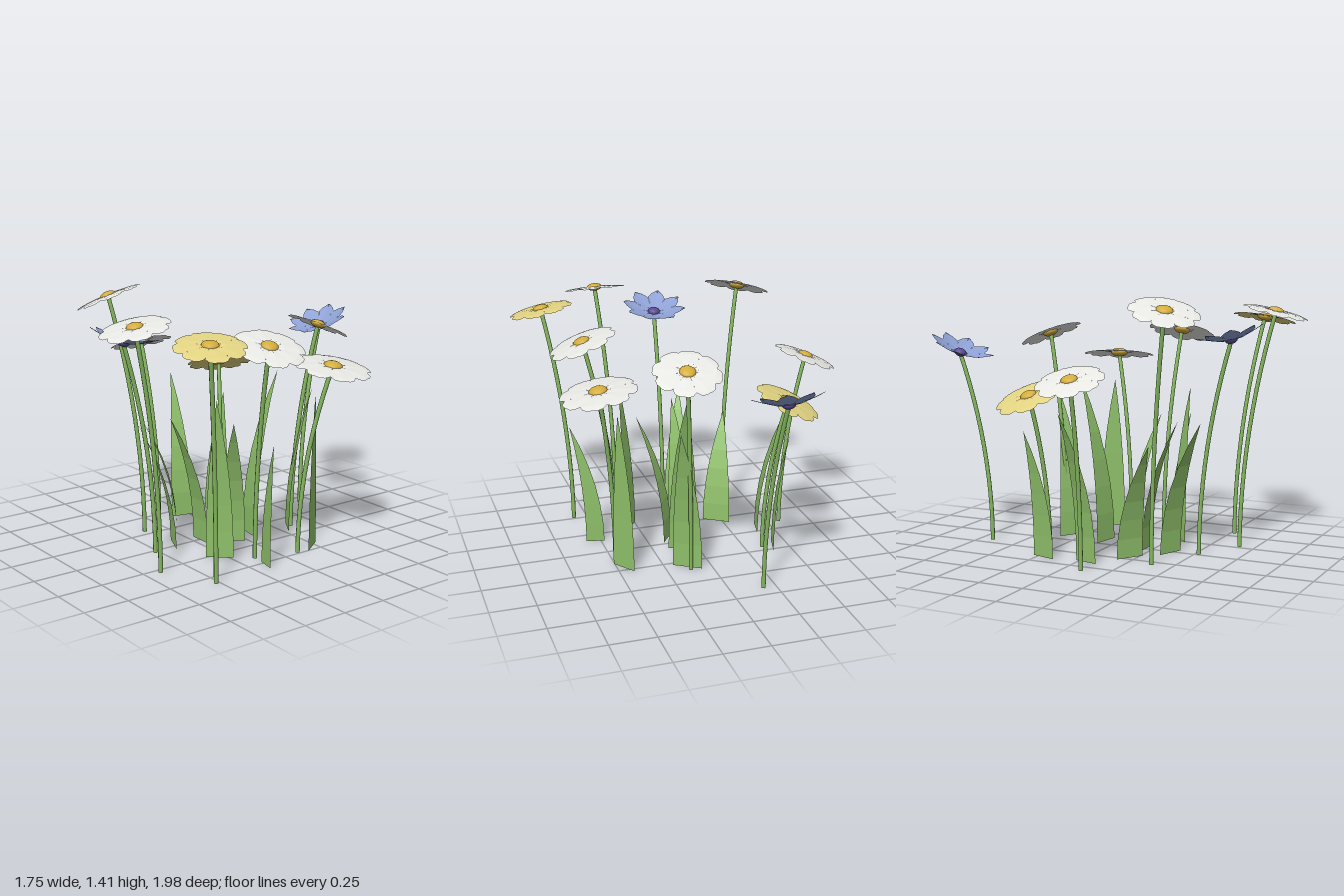
import * as THREE from 'three';
import { mergeGeometries } from 'three/addons/utils/BufferGeometryUtils.js';

const mat = (name, color, extra = {}) => {
  const m = new THREE.MeshStandardMaterial({ color, ...extra });
  m.name = name;
  return m;
};
const open = { side: THREE.DoubleSide, flatShading: true };

// Strip surface from rows of points, all rows the same length
function pushRows(rows, pos) {
  for (let i = 0; i < rows.length - 1; i++) {
    for (let j = 0; j < rows[i].length - 1; j++) {
      const a = rows[i][j], b = rows[i][j + 1], c = rows[i + 1][j + 1], d = rows[i + 1][j];
      pos.push(...a, ...b, ...c, ...a, ...c, ...d);
    }
  }
}
function surface(pos) {
  const g = new THREE.BufferGeometry();
  g.setAttribute('position', new THREE.Float32BufferAttribute(pos, 3));
  g.computeVertexNormals();
  return g;
}

// Ring of eight petals; profile rows are [radius, half width, height]
function petalRing(profile, crease) {
  const pos = [];
  for (let k = 0; k < 8; k++) {
    const a = Math.PI / 8 + (k * Math.PI) / 4, c = Math.cos(a), s = Math.sin(a);
    const at = (r, w, y) => [r * c - w * s, y, r * s + w * c];
    pushRows(profile.map(([r, w, y]) => [at(r, w, y), at(r, 0, y + crease), at(r, -w, y)]), pos);
  }
  return surface(pos);
}

// Curved stem with a closed foot
function stemGeometry(base, top) {
  const curve = new THREE.QuadraticBezierCurve3(
    base, new THREE.Vector3(base.x, top.y / 2, base.z), top);
  const foot = new THREE.CircleGeometry(0.012, 8).rotateX(Math.PI / 2).translate(base.x, 0, base.z);
  return mergeGeometries([new THREE.TubeGeometry(curve, 12, 0.012, 8), foot]);
}

// Blade that bends from its base edge to a pointed tip
function leafGeometry([ax, az, bx, bz, tx, tz, h]) {
  const rows = [];
  for (let i = 0; i <= 6; i++) {
    const t = i / 6, q = t * t;
    rows.push([
      [ax + (tx - ax) * q, h * t, az + (tz - az) * q],
      [bx + (tx - bx) * q, h * t, bz + (tz - bz) * q],
    ]);
  }
  const pos = [];
  pushRows(rows, pos);
  return surface(pos);
}

export function createModel() {
  const root = new THREE.Group();
  root.name = 'flowerPatch';

  const stemGreen = mat('stem green', 0x86b860);
  const leafGreen = mat('leaf green', 0x8fc06a, open);
  const gold = mat('gold centre', 0xd4ac3a);
  const purple = mat('purple centre', 0x5c4a92);

  const daisy = petalRing(
    [[0.008, 0.003, 0.004], [0.07, 0.029, 0.006], [0.145, 0.06, 0], [0.17, 0.046, -0.005], [0.179, 0.024, -0.008]], 0.002);
  const star = petalRing(
    [[0.008, 0.003, 0], [0.06, 0.025, 0.007], [0.125, 0.051, 0.028], [0.155, 0.034, 0.039], [0.183, 0.002, 0.05]], -0.003);
  const ball = new THREE.SphereGeometry(0.044, 16, 10).scale(1, 0.5, 1);
  const bud = new THREE.SphereGeometry(0.035, 16, 10).scale(1, 0.65, 1);

  const kinds = {
    white: { petals: daisy, centre: ball, petalMat: mat('white petal', 0xeeeeea, open), centreMat: gold },
    yellow: { petals: daisy, centre: ball, petalMat: mat('yellow petal', 0xe2d382, open), centreMat: gold },
    blue: { petals: star, centre: bud, petalMat: mat('blue petal', 0x8ea1d4, open), centreMat: purple },
  };

  // kind, head x y z, foot x z, slope of the head along x and z, size
  const flowers = [
    ['blue', -0.225, 1.07, -0.842, -0.18, -0.67, 0, -0.38, 1],
    ['white', 0.18, 1.17, -0.48, 0.12, -0.35, -0.05, 0.43, 1],
    ['white', 0.585, 1.03, -0.235, 0.48, -0.1, -0.18, 0.05, 1.15],
    ['white', 0.57, 1.18, 0.18, 0.41, 0.14, -0.37, -0.03, 1.06],
    ['yellow', -0.46, 0.88, -0.265, -0.35, -0.2, 0.42, 0.2, 1.03],
    ['white', -0.715, 1.005, 0.115, -0.57, 0.1, 0.39, 0.03, 1],
    ['white', -0.434, 1.345, 0.505, -0.3, 0.38, 0.29, -0.29, 1.03],
    ['blue', 0.015, 1.175, 0.695, 0.02, 0.52, 0, 0.25, 1],
    ['white', 0.338, 1.315, 0.83, 0.28, 0.66, -0.03, -0.24, 1],
    ['yellow', 0.7, 1.26, 0.643, 0.575, 0.52, -0.2, -0.1, 1],
  ];
  const up = new THREE.Vector3(0, 1, 0);
  for (const [kind, x, y, z, fx, fz, sx, sz, size] of flowers) {
    const { petals, centre, petalMat, centreMat } = kinds[kind];
    const flower = new THREE.Group();
    flower.name = kind + 'Flower';
    const top = new THREE.Vector3(x, y, z);
    const stem = new THREE.Mesh(stemGeometry(new THREE.Vector3(fx, 0, fz), top), stemGreen);
    stem.name = 'stem';

    const head = new THREE.Group();
    head.name = 'head';
    head.position.copy(top);
    head.quaternion.setFromUnitVectors(up, new THREE.Vector3(-sx, 1, -sz).normalize());
    head.scale.setScalar(size);
    const ring = new THREE.Mesh(petals, petalMat);
    ring.name = 'petals';
    const middle = new THREE.Mesh(centre, centreMat);
    middle.name = 'centre';
    middle.position.y = 0.004;
    head.add(ring, middle);
    flower.add(stem, head);
    root.add(flower);
  }

  // base edge ax az bx bz, tip x z, height
  const leaves = [
    [-0.39, -0.02, -0.42, 0.11, -0.6, -0.015, 0.82],
    [0, -0.09, 0.16, -0.06, 0.11, -0.25, 0.93],
    [0.06, -0.36, 0.2, -0.27, 0.2, -0.43, 0.82],
    [0.164, 0.016, 0.085, 0.13, 0.275, 0.18, 0.72],
    [-0.06, 0.21, 0.08, 0.21, 0, 0.4, 0.73],
    [0.34, 0.23, 0.245, 0.345, 0.333, 0.335, 0.88],
    [-0.095, 0.34, 0.05, 0.4, -0.095, 0.57, 0.74],
    [-0.285, 0.17, -0.15, 0.26, -0.31, 0.365, 0.63],
    [0.48, 0.15, 0.58, 0.17, 0.65, 0.21, 0.69],
    [-0.43, -0.14, -0.39, -0.28, -0.46, -0.3, 0.69],
    [0.42, -0.28, 0.505, -0.157, 0.48, -0.21, 0.88],
  ];
  for (const spec of leaves) {
    const leaf = new THREE.Mesh(leafGeometry(spec), leafGreen);
    leaf.name = 'leaf';
    root.add(leaf);
  }
  return root;
}
